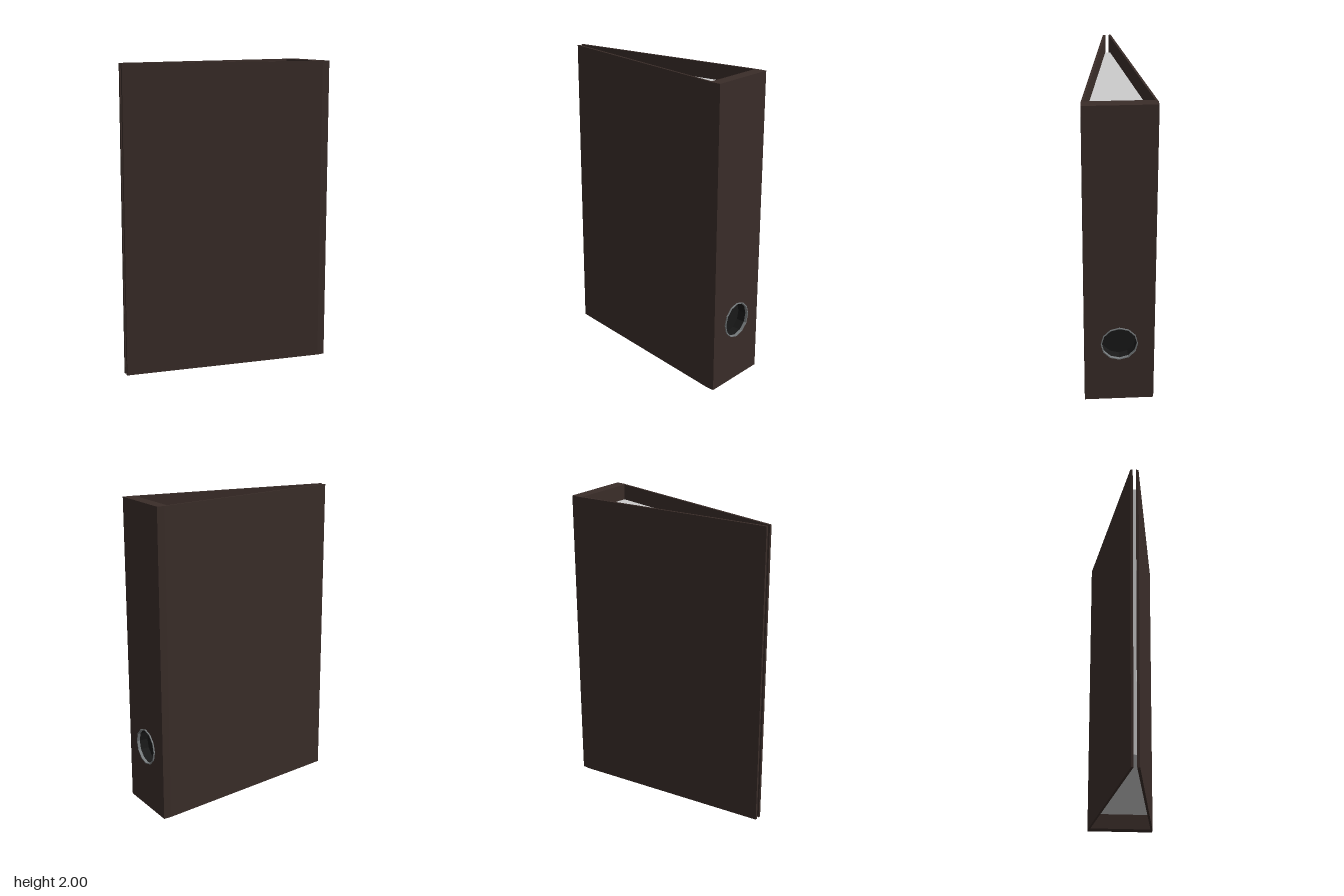
import * as THREE from 'three';

const mat = (color, side = THREE.FrontSide) =>
  new THREE.MeshStandardMaterial({ color, side, flatShading: true });

// Vertical prism from an [x, z] outline
function prism(points, y0, y1) {
  const shape = new THREE.Shape(points.map(([x, z]) => new THREE.Vector2(x, -z)));
  return new THREE.ExtrudeGeometry(shape, { depth: y1 - y0, bevelEnabled: false })
    .rotateX(-Math.PI / 2).translate(0, y0, 0);
}

// Outline in the spine plane pushed along +x from x0
function slab(shape, x0, depth) {
  return new THREE.ExtrudeGeometry(shape, { depth, bevelEnabled: false })
    .rotateY(Math.PI / 2).translate(x0, 0, 0);
}

// Regular twelve-sided outline of the finger hole
const HOLE_Y = 0.42;
function ringPoints(r) {
  return Array.from({ length: 12 }, (_, i) => {
    const a = (i / 12) * Math.PI * 2;
    return new THREE.Vector2(r * Math.cos(a), HOLE_Y + r * Math.sin(a));
  });
}

export function createModel() {
  const model = new THREE.Group();
  model.name = 'ringBinder';
  const board = mat(0x3a2d29);
  const dark = mat(0x191919, THREE.DoubleSide);
  const add = (name, geometry, material) => {
    const mesh = new THREE.Mesh(geometry, material);
    mesh.name = name;
    model.add(mesh);
  };

  // Covers, tapering together towards the open edge
  const cover = (s, tipIn, tipOut) => prism([
    [0.68, s * 0.22], [0.63, s * 0.22], [-0.69, s * tipOut],
    [-0.69, s * tipIn], [0.605, s * 0.203], [0.68, s * 0.203],
  ], 0, 2);
  add('frontCover', cover(1, 0.006, 0.023), board);
  add('backCover', cover(-1, 0.014, 0.029), board);

  // Spine with the finger hole cut through
  const spine = new THREE.Shape([
    new THREE.Vector2(-0.203, 0), new THREE.Vector2(0.203, 0),
    new THREE.Vector2(0.203, 2), new THREE.Vector2(-0.203, 2),
  ]);
  spine.holes.push(new THREE.Path(ringPoints(0.112)));
  add('spine', slab(spine, 0.605, 0.075), board);

  // Thin metal rim standing proud of the spine
  const rim = new THREE.Shape(ringPoints(0.117));
  rim.holes.push(new THREE.Path(ringPoints(0.111)));
  add('fingerHoleRim', slab(rim, 0.67, 0.018), mat(0x777c7e));

  // Dark lining and back of the finger hole
  const lining = new THREE.CylinderGeometry(0.1115, 0.1115, 0.07, 12, 1, true)
    .rotateX(Math.PI / 2).rotateY(Math.PI / 2).rotateX(Math.PI / 2)
    .translate(0.645, HOLE_Y, 0);
  add('fingerHoleLining', lining, dark);
  add('fingerHoleBack', slab(new THREE.Shape(ringPoints(0.111)), 0.61, 0.004), dark);

  // Wedge of paper, recessed at top and bottom
  add('paperStack', prism([
    [0.604, 0.2], [0.604, -0.2], [-0.615, -0.02], [-0.615, 0.012],
  ], 0.1, 1.9), mat(0xcccccc));

  return model;
}
